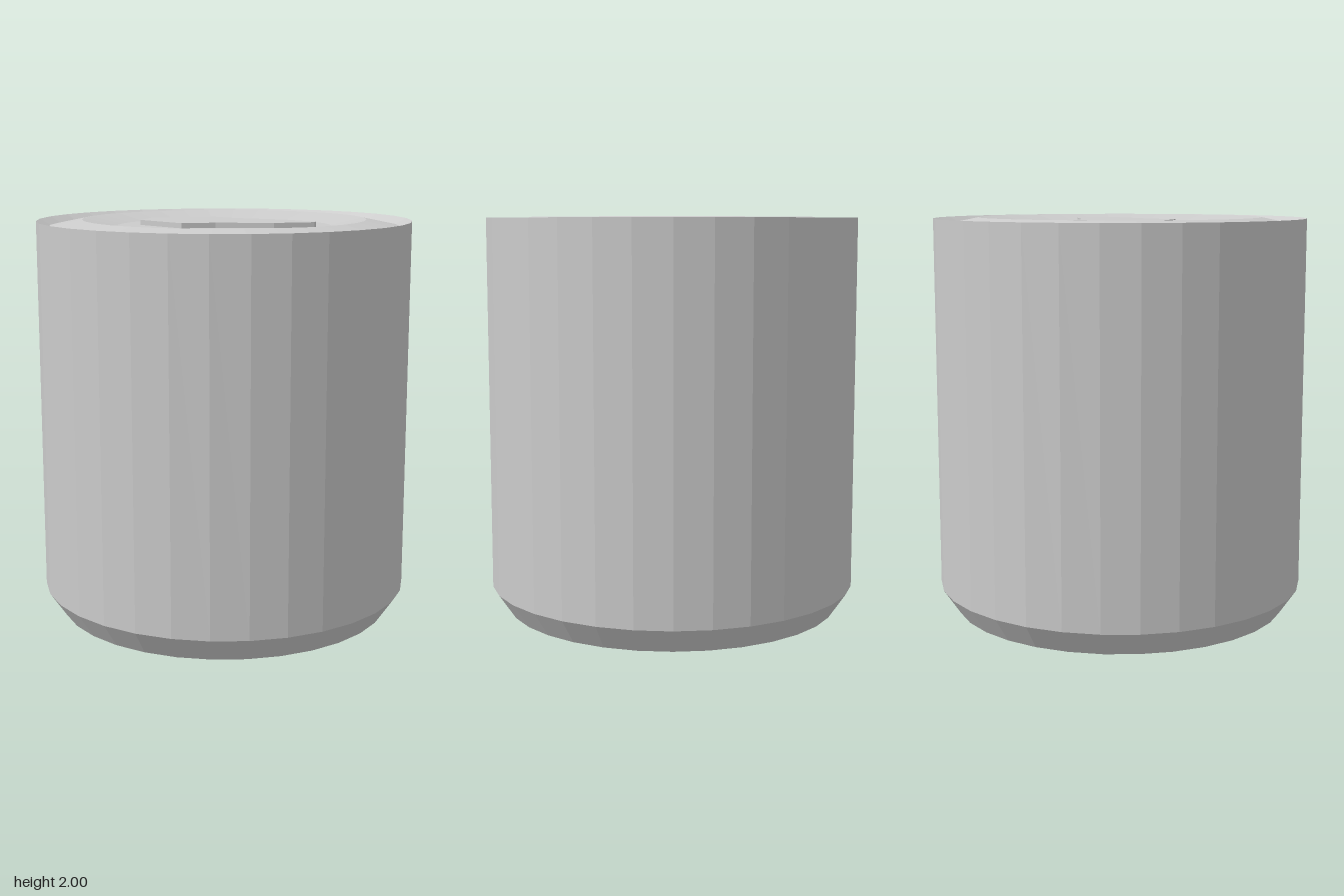
import * as THREE from 'three';

export function createModel() {
  const model = new THREE.Group();
  const material = new THREE.MeshStandardMaterial({ color: 0xcccccc, flatShading: true });
  const add = (name, geometry) => {
    const mesh = new THREE.Mesh(geometry, material);
    mesh.name = name;
    model.add(mesh);
    return mesh;
  };
  const lathe = (points) =>
    new THREE.LatheGeometry(points.map(([r, y]) => new THREE.Vector2(r, y)), 32);

  // Can wall with closed base and chamfered foot
  add('canBody', lathe([[0, 0], [0.85, 0], [0.935, 0.125], [0.935, 1.995]]));

  // Lid: rim, groove, raised ring and sunken centre
  add('lid', lathe([[0.935, 1.995], [0.88, 1.965], [0.71, 2], [0.54, 1.965], [0, 1.965]]));

  // Pull tab: symmetric outline, mirrored across its long axis
  const half = [[-0.42, 0.088], [-0.15, 0.263], [0, 0.178], [0.28, 0.125], [0.46, 0.02]];
  const outline = [...half, ...half.map(([x, y]) => [x, -y]).reverse()];
  const shape = new THREE.Shape(outline.map(([x, y]) => new THREE.Vector2(x, y)));
  const tab = add('pullTab', new THREE.ExtrudeGeometry(shape, { depth: 0.03, bevelEnabled: false }));
  tab.rotation.x = -Math.PI / 2;
  tab.position.set(0, 1.96, -0.02);

  return model;
}
